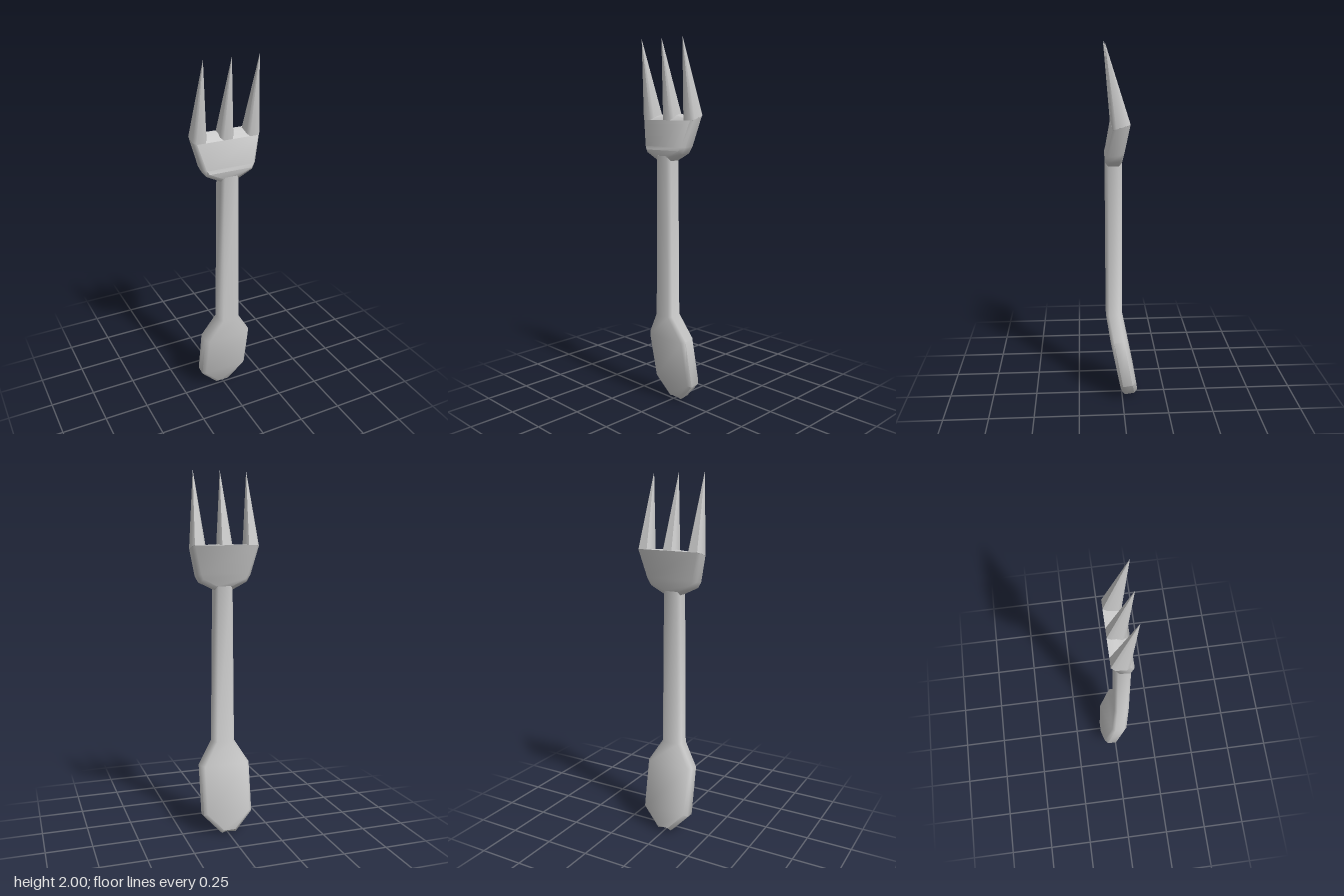
import * as THREE from 'three';
import { toCreasedNormals } from 'three/addons/utils/BufferGeometryUtils.js';

const material = new THREE.MeshStandardMaterial({ color: 0xcccccc });
const DEPTH = 0.045; // half thickness
const BEVEL = 0.018;

// Octagonal ring: outer edge at height y and half width w, bevelled to the
// front and back faces at height yi and half width wi; tilt lowers the front.
function ring([y, w, yi, wi, zc, tilt]) {
  const side = DEPTH - BEVEL;
  return [
    [w, side, y], [w, -side, y], [wi, -DEPTH, yi], [-wi, -DEPTH, yi],
    [-w, -side, y], [-w, side, y], [-wi, DEPTH, yi], [wi, DEPTH, yi],
  ].map(([x, dz, h]) => [x, h - tilt * dz, zc + dz]);
}

// Skin stacked rings and close each end with a fan to a point.
function loft(name, rows, bottom, top) {
  const points = [...rows.flatMap(ring), bottom, top];
  const index = [];
  const last = (rows.length - 1) * 8;
  const b = points.length - 2, t = b + 1;
  for (let i = 0; i < 8; i++) {
    const j = (i + 1) % 8;
    for (let r = 0; r < last; r += 8) {
      index.push(r + i, r + j, r + 8 + j, r + i, r + 8 + j, r + 8 + i);
    }
    index.push(j, i, b, last + i, last + j, t);
  }
  const geometry = new THREE.BufferGeometry();
  geometry.setAttribute('position', new THREE.Float32BufferAttribute(points.flat(), 3));
  geometry.setIndex(index);
  const mesh = new THREE.Mesh(toCreasedNormals(geometry, 0.95), material);
  mesh.name = name;
  return mesh;
}

export function createModel() {
  const group = new THREE.Group();
  group.name = 'fork';

  // Paddle-shaped grip, bent back, running up into the slim shank
  group.add(loft('handle', [
    [0.004, 0.04, 0.022, 0.032, -0.045, 0.15],
    [0.11, 0.14, 0.12, 0.122, -0.028, 0.15],
    [0.385, 0.14, 0.38, 0.122, 0.022, 0.15],
    [0.515, 0.06, 0.512, 0.044, 0.045, 0.08],
    [1.39, 0.05, 1.39, 0.035, 0.045, 0],
  ], [0, 0.004, -0.045], [0, 1.39, 0.045]));

  // Flared head leaning back
  group.add(loft('head', [
    [1.365, 0.05, 1.385, 0.045, 0.045, 0],
    [1.405, 0.13, 1.422, 0.12, 0.044, 0.05],
    [1.44, 0.15, 1.445, 0.132, 0.038, 0.15],
    [1.59, 0.187, 1.59, 0.172, 0.01, 0.3],
  ], [0, 1.365, 0.045], [0, 1.61, 0.005]));

  // Three pointed tines curving forward
  for (const [x, side] of [[-0.15, 'right'], [0, 'middle'], [0.15, 'left']]) {
    const tine = loft(side + 'Tine', [[1.59, 0.038, 1.59, 0.025, 0.01, 0.3]],
      [0, 1.57, 0.01], [0, 2, 0.09]);
    tine.position.x = x;
    group.add(tine);
  }
  return group;
}
